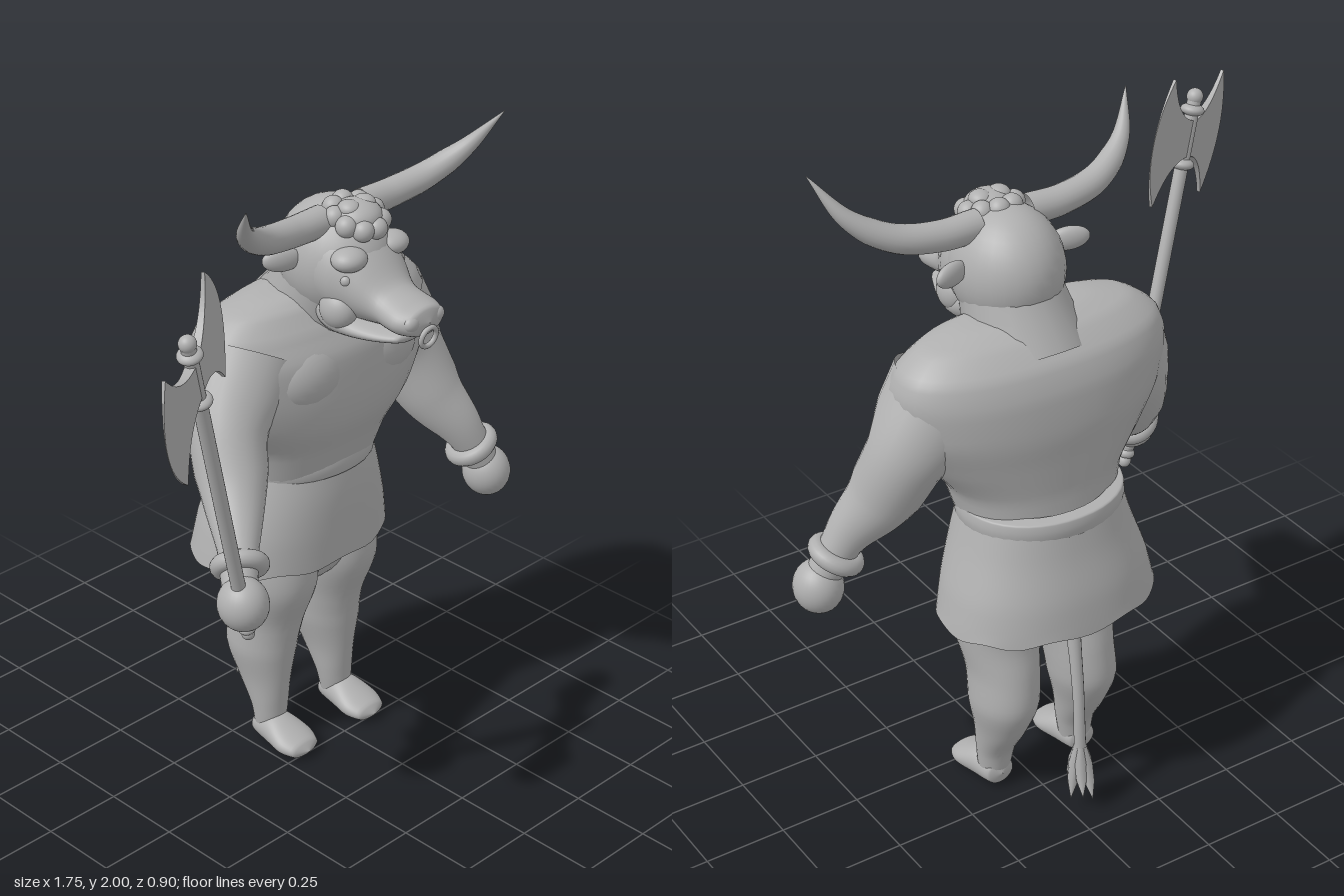
import * as THREE from 'three';

const V = (p) => new THREE.Vector3(...p);
const grey = new THREE.MeshStandardMaterial({ color: 0xb0b0b0 });
grey.name = 'stone grey';
const greyOpen = grey;
greyOpen.side = THREE.DoubleSide;

function add(parent, name, geometry, pos = [0, 0, 0], scale = [1, 1, 1]) {
  const m = new THREE.Mesh(geometry, grey);
  m.name = name;
  m.position.set(...pos);
  m.scale.set(...scale);
  parent.add(m);
  return m;
}

// Smooth stack of superellipse sections; row = [height, centreX, centreZ, halfX, halfZ]
function loft(rows, power = 2, n = 40, steps = 5, hem = 0) {
  const mid = new THREE.CatmullRomCurve3(rows.map((r) => V([r[0], r[1], r[2]])));
  const half = new THREE.CatmullRomCurve3(rows.map((r) => V([r[3], r[4], 0])));
  const pos = [], idx = [], count = (rows.length - 1) * steps;
  const bend = (v) => Math.sign(v) * Math.abs(v) ** (2 / power);
  for (let i = 0; i <= count; i++) {
    const c = mid.getPoint(i / count), h = half.getPoint(i / count);
    for (let j = 0; j < n; j++) {
      const a = (j / n) * Math.PI * 2;
      const wave = i === 0 ? hem * Math.sin(a * 9) : 0;
      pos.push(c.y + bend(Math.cos(a)) * h.x, c.x + wave, c.z + bend(Math.sin(a)) * h.y);
      if (i === count) continue;
      const k = (j + 1) % n, b = i * n, t = b + n;
      idx.push(b + j, t + j, b + k, t + j, t + k, b + k);
    }
  }
  const g = new THREE.BufferGeometry();
  g.setAttribute('position', new THREE.Float32BufferAttribute(pos, 3));
  g.setIndex(idx);
  g.computeVertexNormals();
  return g;
}

// Loft running towards +z; row = [z, centreY, halfX, halfY]
const loftZ = (rows, power) =>
  loft(rows.map(([z, y, hx, hy]) => [z, 0, -y, hx, hy]), power).rotateX(Math.PI / 2);

// Tube whose radius follows a list spread evenly along its length
function taper(points, radii, sides = 20, n = 32) {
  const curve = new THREE.CatmullRomCurve3(points.map(V));
  const g = new THREE.TubeGeometry(curve, n, 1, sides);
  const p = g.attributes.position, nor = g.attributes.normal;
  for (let i = 0; i < p.count; i++) {
    const t = Math.floor(i / (sides + 1)) / n;
    const c = curve.getPointAt(t), f = t * (radii.length - 1);
    const k = Math.min(Math.floor(f), radii.length - 2);
    const r = THREE.MathUtils.lerp(radii[k], radii[k + 1], f - k);
    p.setXYZ(i, c.x + nor.getX(i) * r, c.y + nor.getY(i) * r, c.z + nor.getZ(i) * r);
  }
  return g;
}

const ball = new THREE.SphereGeometry(1, 28, 20);
const addBall = (parent, name, pos, scale) => add(parent, name, ball, pos, scale);

function buildTorso(body) {
  add(body, 'torso', loft([
    [0.97, 0, -0.16, 0.235, 0.18], [1.08, 0, -0.14, 0.265, 0.195], [1.18, 0, -0.125, 0.34, 0.215],
    [1.3, 0, -0.125, 0.41, 0.22], [1.4, 0, -0.125, 0.43, 0.21], [1.48, 0, -0.13, 0.41, 0.175],
    [1.54, 0, -0.12, 0.33, 0.12], [1.565, 0, -0.11, 0.2, 0.07], [1.57, 0, -0.11, 0.001, 0.001],
  ], 2.3));
  add(body, 'neck', taper([[0, 1.42, -0.13], [0, 1.53, -0.07], [0, 1.63, -0.02]], [0.19, 0.16, 0.14]));
  for (const s of [-1, 1]) addBall(body, 'chestMuscle', [s * 0.14, 1.34, -0.02], [0.17, 0.13, 0.115]);

  // Kilt and belt
  add(body, 'kilt', loft([
    [0.67, 0, -0.21, 0.335, 0.24], [0.78, 0, -0.2, 0.31, 0.235],
    [0.9, 0, -0.185, 0.27, 0.22], [1.0, 0, -0.18, 0.24, 0.205],
  ], 2.2, 72, 5, 0.006));
  add(body, 'belt', loft([
    [0.968, 0, -0.178, 0.225, 0.195], [0.972, 0, -0.178, 0.246, 0.212], [1.0, 0, -0.178, 0.25, 0.216],
    [1.028, 0, -0.178, 0.246, 0.212], [1.032, 0, -0.178, 0.21, 0.175],
  ], 2.1));
}

function buildLegs(body) {
  for (const s of [-1, 1]) {
    add(body, 'leg', loft([
      [0.06, s * 0.145, -0.145, 0.05, 0.045], [0.13, s * 0.142, -0.15, 0.06, 0.055],
      [0.23, s * 0.14, -0.175, 0.075, 0.09], [0.34, s * 0.137, -0.19, 0.1, 0.12],
      [0.45, s * 0.13, -0.175, 0.105, 0.125], [0.58, s * 0.13, -0.14, 0.125, 0.135],
      [0.7, s * 0.125, -0.15, 0.13, 0.145], [0.85, s * 0.11, -0.16, 0.11, 0.13],
    ], 2, 32));
    const foot = add(body, 'foot', loftZ([
      [-0.195, 0.055, 0.001, 0.001], [-0.18, 0.055, 0.045, 0.042], [-0.11, 0.055, 0.06, 0.053],
      [-0.04, 0.042, 0.072, 0.04], [0.01, 0.033, 0.055, 0.026], [0.03, 0.03, 0.001, 0.001],
    ]));
    foot.position.x = s * 0.147;
  }
  addBall(body, 'hips', [0, 0.7, -0.16], [0.22, 0.17, 0.15]);

  // Tail with a tuft of curved strands
  add(body, 'tail', taper([[0, 0.85, -0.26], [0, 0.68, -0.335], [0, 0.45, -0.375], [0, 0.2, -0.39]],
    [0.03, 0.025, 0.019, 0.017, 0.018], 14));
  for (let i = 0; i < 6; i++) {
    const a = (i / 6) * Math.PI * 2, x = Math.cos(a), z = Math.sin(a);
    add(body, 'tailTuft', taper([[x * 0.008, 0.225, -0.39 + z * 0.008], [x * 0.024, 0.13, -0.39 + z * 0.026],
      [x * 0.034, 0.045 + 0.02 * (i % 2), -0.392 + z * 0.045]], [0.012, 0.02, 0.016, 0.001], 8, 12));
  }
}

function buildArm(body, path, hand) {
  add(body, 'arm', taper(path, [0.165, 0.15, 0.115, 0.108, 0.085, 0.06, 0.052], 28, 40));
  addBall(body, 'hand', hand, [0.074, 0.082, 0.078]);
  // Bracelet around the wrist
  const end = V(hand), dir = end.clone().sub(V(path[path.length - 2])).normalize();
  const ring = add(body, 'bracelet', new THREE.TorusGeometry(0.06, 0.027, 14, 32));
  ring.position.copy(end).addScaledVector(dir, -0.115);
  ring.quaternion.setFromUnitVectors(V([0, 0, 1]), dir);
}

function buildHead(body) {
  const head = new THREE.Group();
  head.name = 'head';
  body.add(head);
  addBall(head, 'skull', [0, 1.66, -0.02], [0.16, 0.18, 0.182]);
  add(head, 'muzzle', loftZ([
    [-0.02, 1.67, 0.155, 0.165], [0.08, 1.65, 0.145, 0.145], [0.15, 1.62, 0.115, 0.105],
    [0.22, 1.585, 0.088, 0.062], [0.29, 1.572, 0.092, 0.052], [0.335, 1.57, 0.07, 0.042], [0.35, 1.57, 0.001, 0.001],
  ]));
  add(head, 'jaw', loftZ([
    [-0.03, 1.56, 0.1, 0.09], [0.06, 1.53, 0.135, 0.07], [0.14, 1.51, 0.12, 0.042],
    [0.22, 1.505, 0.09, 0.026], [0.28, 1.51, 0.06, 0.018], [0.295, 1.512, 0.001, 0.001],
  ]));
  const noseRing = add(head, 'noseRing', new THREE.TorusGeometry(0.03, 0.008, 10, 28), [0, 1.525, 0.345]);
  noseRing.rotation.x = 0.15;

  for (const s of [-1, 1]) {
    addBall(head, 'brow', [s * 0.085, 1.715, 0.115], [0.055, 0.035, 0.05]);
    addBall(head, 'eye', [s * 0.108, 1.66, 0.125], [0.018, 0.018, 0.018]);
    addBall(head, 'cheek', [s * 0.1, 1.56, 0.09], [0.05, 0.06, 0.06]);
    addBall(head, 'nostril', [s * 0.05, 1.575, 0.325], [0.028, 0.024, 0.02]);
    const ear = addBall(head, 'ear', [s * 0.19, 1.695, -0.045], [0.062, 0.036, 0.022]);
    ear.rotation.set(0, s * 0.35, s * 0.08);
    add(head, 'horn', taper([[s * 0.08, 1.795, 0], [s * 0.2, 1.795, 0], [s * 0.33, 1.818, 0.02],
      [s * 0.44, 1.885, 0.07], [s * 0.515, 2.0, 0.15]], [0.046, 0.044, 0.042, 0.036, 0.02, 0.001]));
  }

  // Curly forelock
  addBall(head, 'forelock', [0, 1.805, 0.06], [0.075, 0.05, 0.075]);
  for (let i = 0; i < 9; i++) {
    const a = (i / 9) * Math.PI * 2;
    addBall(head, 'curl', [Math.cos(a) * 0.068, 1.805 - Math.sin(a) * 0.022, 0.06 + Math.sin(a) * 0.068],
      [0.032, 0.032, 0.032]);
  }
  for (const x of [-0.03, 0.03]) addBall(head, 'curl', [x, 1.835, 0.06], [0.033, 0.025, 0.035]);
}

function buildAxe(group) {
  const axe = new THREE.Group();
  axe.name = 'axe';
  const up = V([-0.345, 1.12, 0.14]).normalize();
  const out = V([0.813, 0.294, -0.502]);
  out.addScaledVector(up, -out.dot(up)).normalize();
  axe.quaternion.setFromRotationMatrix(new THREE.Matrix4().makeBasis(out, up, out.clone().cross(up)));
  axe.position.set(-0.335, 0.7, 0.18);
  group.add(axe);

  add(axe, 'shaft', new THREE.CylinderGeometry(0.021, 0.021, 1.13, 20), [0, 0.595, 0]);
  addBall(axe, 'pommel', [0, 0.02, 0], [0.02, 0.022, 0.02]);
  addBall(axe, 'finial', [0, 1.165, 0], [0.025, 0.025, 0.025]);
  for (const [y, r] of [[0.045, 0.027], [0.07, 0.024], [0.96, 0.037], [1.125, 0.036]])
    addBall(axe, 'collar', [0, y, 0], [r, 0.019, r]);

  // Twin blades thinning towards the cutting edge
  const outline = new THREE.Shape();
  outline.moveTo(0, -0.055);
  outline.quadraticCurveTo(0.13, -0.06, 0.2, -0.19);
  outline.quadraticCurveTo(0.355, 0, 0.2, 0.19);
  outline.quadraticCurveTo(0.13, 0.06, 0, 0.055);
  const blade = new THREE.ExtrudeGeometry(outline, { depth: 0.03, bevelEnabled: false, curveSegments: 18 });
  blade.translate(0, 0, -0.015);
  const p = blade.attributes.position;
  for (let i = 0; i < p.count; i++) p.setZ(i, p.getZ(i) * (1.05 - p.getX(i) / 0.28));
  blade.computeVertexNormals();
  for (const turn of [0, Math.PI]) add(axe, 'blade', blade, [0, 1.04, 0]).rotation.y = turn;
}

export function createModel() {
  const group = new THREE.Group();
  group.name = 'bullWarrior';
  const body = new THREE.Group();
  body.name = 'body';
  body.position.x = 0.21;
  group.add(body);
  buildTorso(body);
  buildLegs(body);
  buildArm(body, [[0.26, 1.4, -0.12], [0.37, 1.22, -0.09], [0.43, 1.06, -0.03], [0.5, 0.94, 0.03], [0.575, 0.8, 0.065]],
    [0.59, 0.76, 0.07]);
  buildArm(body, [[-0.26, 1.4, -0.12], [-0.37, 1.22, -0.08], [-0.43, 1.06, 0], [-0.5, 0.95, 0.09], [-0.57, 0.87, 0.17]],
    [-0.586, 0.84, 0.2]);
  buildHead(body);
  buildAxe(group);
  return group;
}
